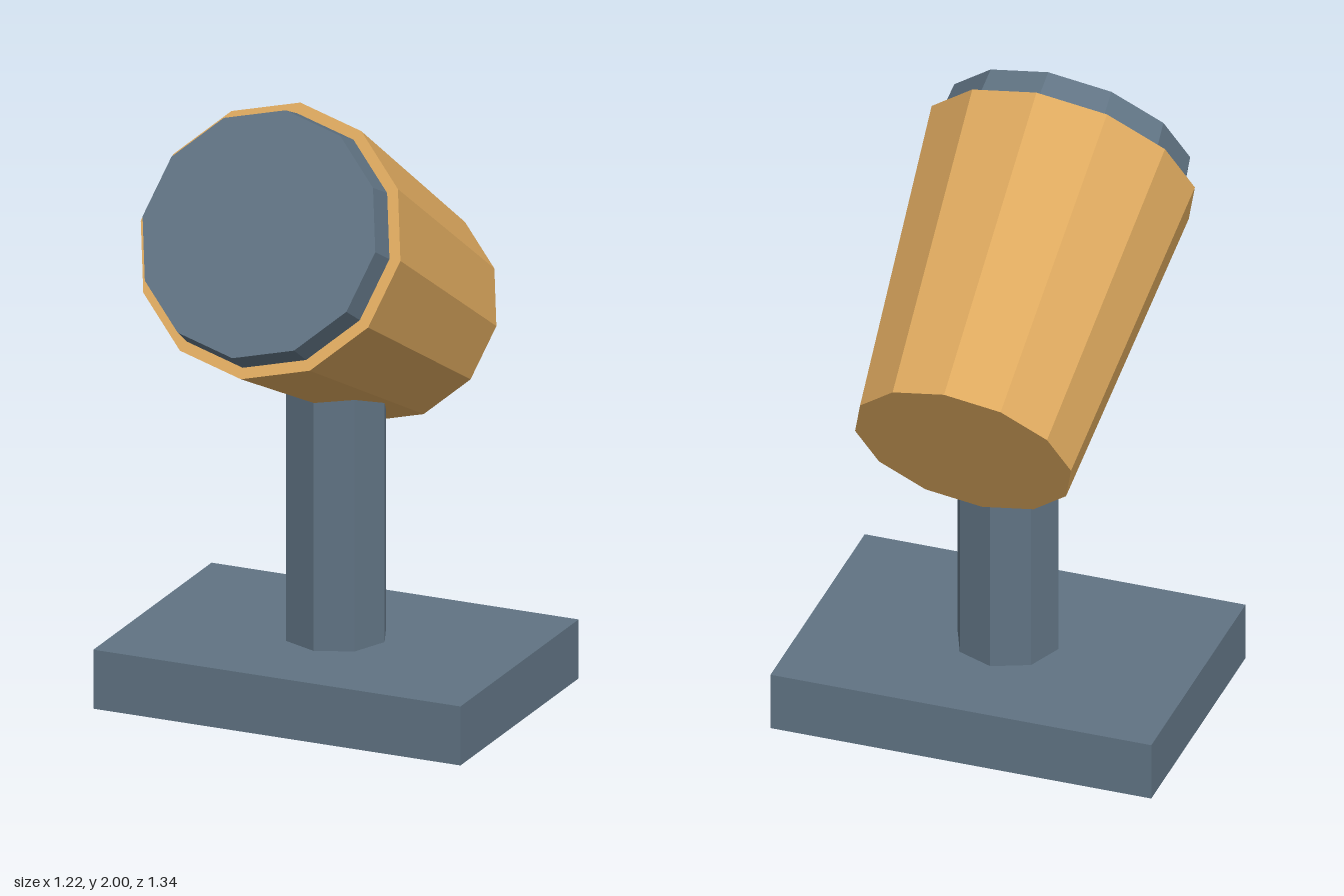
import * as THREE from 'three';

export function createModel() {
  const slate = new THREE.MeshStandardMaterial({ name: 'slate blue', color: 0x607383, flatShading: true });
  const amber = new THREE.MeshStandardMaterial({ name: 'amber', color: 0xdca85e, flatShading: true });
  const model = new THREE.Group();
  model.name = 'spotlight';

  const add = (parent, name, geometry, material, x, y, z) => {
    const mesh = new THREE.Mesh(geometry, material);
    mesh.name = name;
    mesh.position.set(x, y, z);
    parent.add(mesh);
  };

  // Stand: rectangular foot and octagonal post running up into the housing
  const standZ = -0.086;
  add(model, 'base', new THREE.BoxGeometry(1.224, 0.19, 0.86), slate, 0, 0.095, standZ);
  add(model, 'post', new THREE.CylinderGeometry(0.162, 0.162, 0.96, 8), slate, 0, 0.67, standZ);

  // Head: origin at the centre of the housing's front rim, local y points out of the lens
  const head = new THREE.Group();
  head.name = 'lampHead';
  head.position.set(0, 1.613, 0.39);
  head.rotation.x = Math.PI / 3;
  model.add(head);
  const length = 1.023;
  add(head, 'housing', new THREE.CylinderGeometry(0.433, 0.347, length, 12), amber, 0, -length / 2, 0);
  // Lens disc sits a hair in front of the rim
  add(head, 'lens', new THREE.CylinderGeometry(0.388, 0.398, 0.094, 12), slate, 0, 0.051, 0);

  return model;
}
